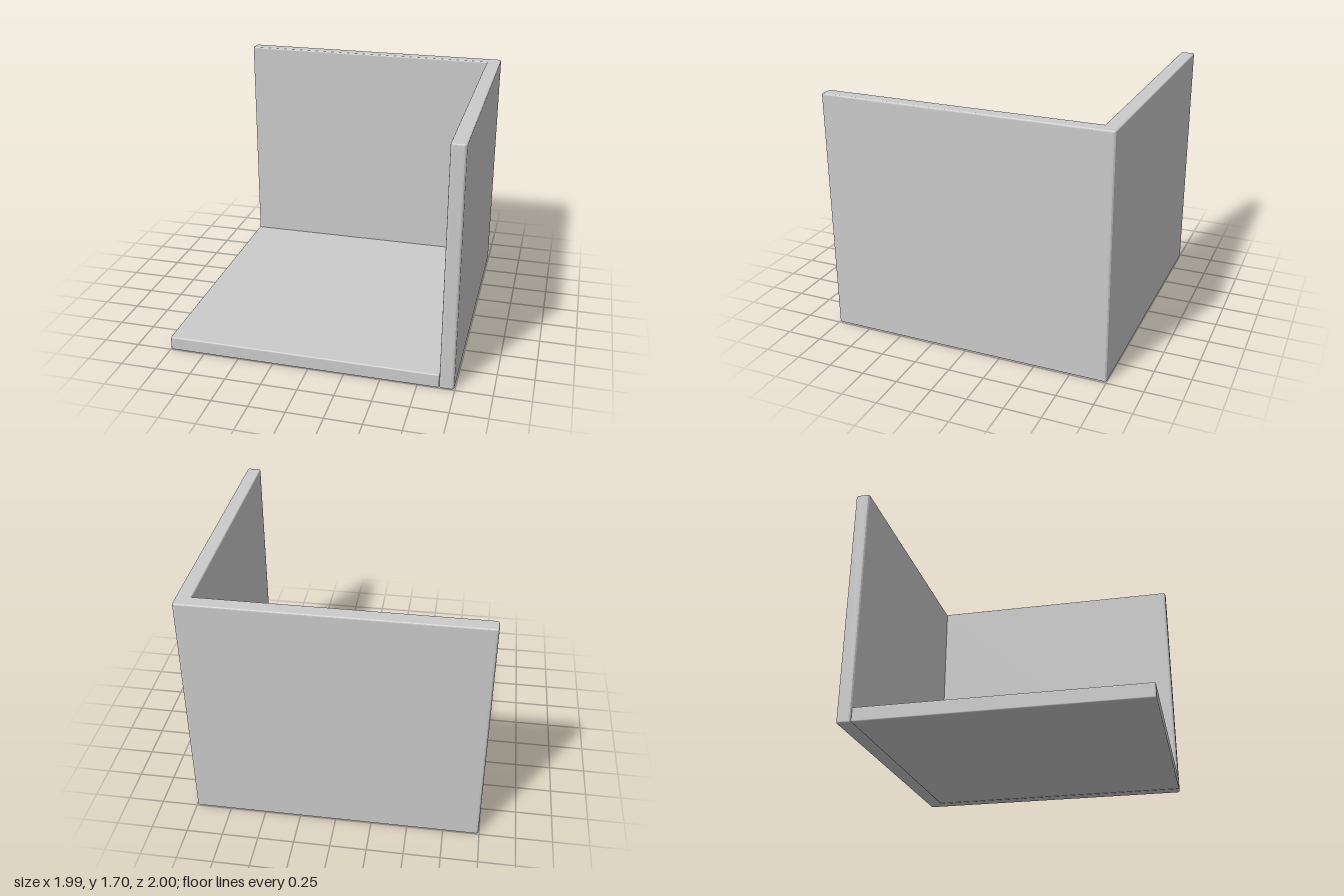
import * as THREE from 'three';
import { RoundedBoxGeometry } from 'three/addons/geometries/RoundedBoxGeometry.js';

const X = 0.995, Z = 1, HEIGHT = 1.7, WALL = 0.1, EDGE = 0.01;

// Closed outline with softened corners; a zero radius keeps a corner sharp
function softOutline(corners) {
  const shape = new THREE.Shape();
  const n = corners.length;
  const toward = (a, b, d) => a.clone().add(b.clone().sub(a).setLength(d));
  const pts = corners.map(([x, y]) => new THREE.Vector2(x, y));
  pts.forEach((p, i) => {
    const r = corners[i][2] ?? EDGE;
    const a = r ? toward(p, pts[(i + n - 1) % n], r) : p;
    const b = r ? toward(p, pts[(i + 1) % n], r) : p;
    if (i === 0) shape.moveTo(a.x, a.y);
    else shape.lineTo(a.x, a.y);
    if (r) shape.quadraticCurveTo(p.x, p.y, b.x, b.y);
  });
  shape.closePath();
  return shape;
}

export function createModel() {
  const group = new THREE.Group();
  group.name = 'openCorner';
  const material = new THREE.MeshStandardMaterial({ color: 0xcccccc });

  // Back and side walls: one L-shaped plan, raised with eased rims
  const x = X - EDGE, z = Z - EDGE, t = WALL - EDGE;
  const plan = softOutline([
    [-x, z], [-x, Z - t], [X - t, Z - t, 0], [X - t, -z], [x, -z], [x, z],
  ]);
  const wallGeometry = new THREE.ExtrudeGeometry(plan, {
    depth: HEIGHT - 2 * EDGE,
    bevelThickness: EDGE,
    bevelSize: EDGE,
    bevelSegments: 3,
    curveSegments: 3,
  });
  wallGeometry.rotateX(-Math.PI / 2).translate(0, EDGE, 0);
  const walls = new THREE.Mesh(wallGeometry, material);
  walls.name = 'walls';
  group.add(walls);

  // Floor slab set between the walls
  const floor = new THREE.Mesh(
    new RoundedBoxGeometry(2 * X - WALL, WALL, 2 * Z - WALL, 3, EDGE), material);
  floor.name = 'floor';
  floor.position.set(-WALL / 2, WALL / 2, WALL / 2);
  group.add(floor);

  return group;
}
